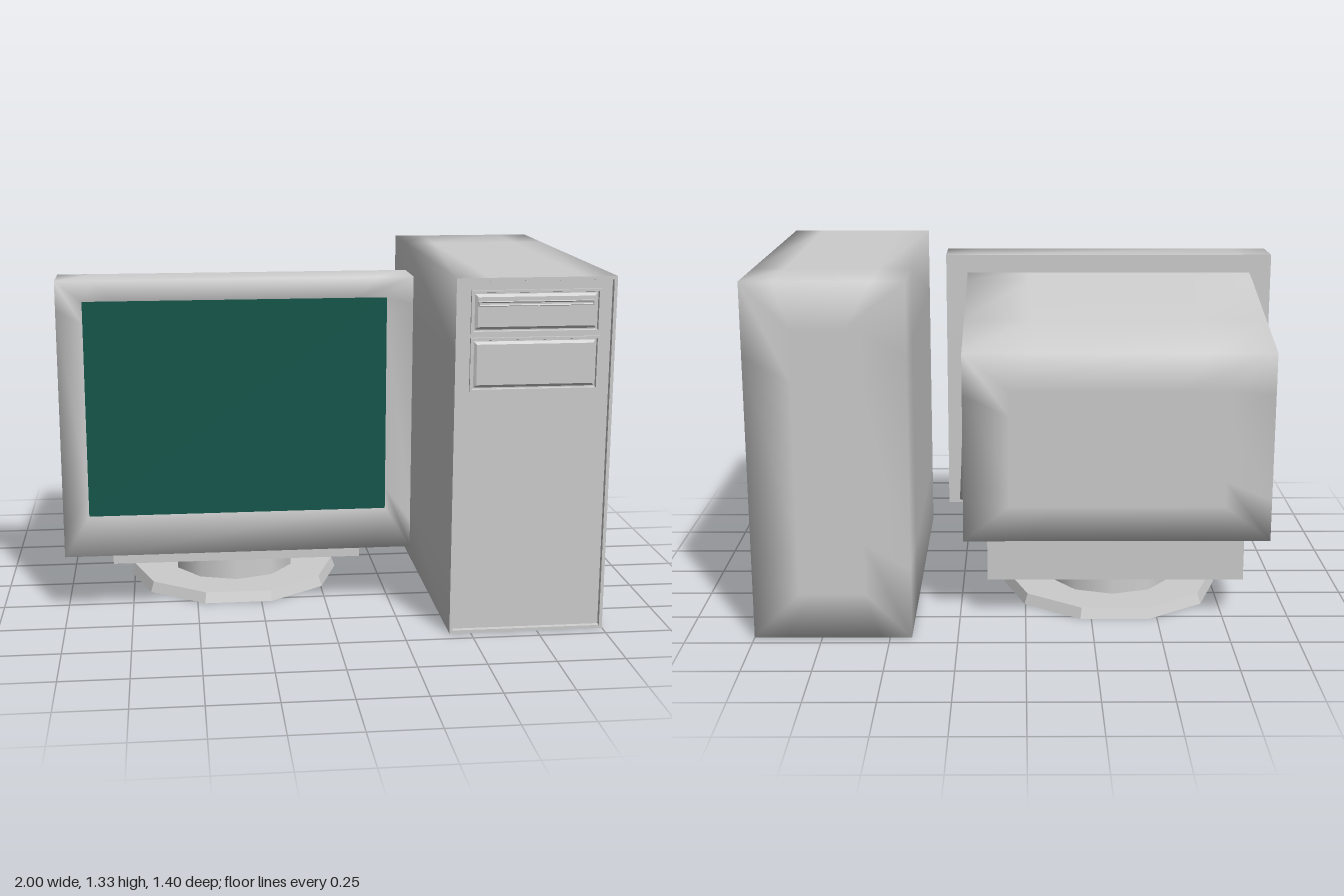
import * as THREE from 'three';
import { mergeVertices } from 'three/addons/utils/BufferGeometryUtils.js';

const grey = new THREE.MeshStandardMaterial({ color: 0xcccccc });
const flatGrey = new THREE.MeshStandardMaterial({ color: 0xcccccc, flatShading: true });
const glass = new THREE.MeshStandardMaterial({ color: 0x10554a });

// Skin over rectangular sections, ordered back to front (or outside to inside on a front face).
// Section: { x: centre, b: half width at bottom, t: half width at top, y0, y1, z }
function loft(sections, { startCap = false, endCap = false, margin = 0.3 } = {}) {
  const us = [-1, -1 + 2 * margin, 1 - 2 * margin, 1];
  const vs = [0, margin, 1 - margin, 1];
  const ring = [
    ...[0, 1, 2].map(i => [us[i], 0]), ...[0, 1, 2].map(i => [1, vs[i]]),
    ...[3, 2, 1].map(i => [us[i], 1]), ...[3, 2, 1].map(i => [-1, vs[i]]),
  ];
  const n = ring.length, pos = [], idx = [];
  for (const s of sections) {
    for (const [u, v] of ring) {
      pos.push(s.x + u * THREE.MathUtils.lerp(s.b, s.t, v), THREE.MathUtils.lerp(s.y0, s.y1, v), s.z);
    }
  }
  for (let i = 0; i + 1 < sections.length; i++) {
    for (let j = 0; j < n; j++) {
      const k = (j + 1) % n, a = i * n, d = a + n;
      idx.push(a + j, a + k, d + k, a + j, d + k, d + j);
    }
  }
  const cap = (i, flip) => {
    const s = sections[i], c = pos.length / 3;
    pos.push(s.x, (s.y0 + s.y1) / 2, s.z);
    for (let j = 0; j < n; j++) {
      const p = i * n + j, q = i * n + (j + 1) % n;
      idx.push(...(flip ? [c, q, p] : [c, p, q]));
    }
  };
  if (startCap) cap(0, true);
  if (endCap) cap(sections.length - 1, false);
  let g = new THREE.BufferGeometry();
  g.setAttribute('position', new THREE.Float32BufferAttribute(pos, 3));
  g.setIndex(idx);
  g = mergeVertices(g);
  g.computeVertexNormals();
  return g;
}

// Plain rectangular section, shrunk by an inset on every side
const rect = (x0, x1, y0, y1, z, inset = 0) => ({
  x: (x0 + x1) / 2, b: (x1 - x0) / 2 - inset, t: (x1 - x0) / 2 - inset,
  y0: y0 + inset, y1: y1 - inset, z,
});

function add(group, name, geometry, material = grey) {
  const mesh = new THREE.Mesh(geometry, material);
  mesh.name = name;
  group.add(mesh);
  return mesh;
}

function createTower() {
  const tower = new THREE.Group();
  tower.name = 'tower';
  const r = (z, inset) => rect(0.42, 1, 0, 1.325, z, inset);

  // Case with softly shaded edges, open at the front
  add(tower, 'towerCase', loft([r(-0.7, 0.17), r(-0.7), r(-0.4), r(0.7)], { startCap: true, margin: 0.2 }));
  // Thin rim around a recessed front panel
  add(tower, 'frontPanel', loft([r(0.7), r(0.7, 0.012), r(0.686, 0.014)], { endCap: true }), flatGrey);

  // Drive bays: raised frame, groove and raised cover
  for (const [y0, y1] of [[1.125, 1.28], [0.915, 1.11]]) {
    const bay = (z, inset) => rect(0.475, 0.945, y0, y1, z, inset);
    add(tower, 'driveBay', loft([
      bay(0.686), bay(0.697), bay(0.697, 0.008), bay(0.687, 0.01),
      bay(0.687, 0.014), bay(0.695, 0.024),
    ], { endCap: true }), flatGrey);
  }
  // Slot lip on the upper bay
  const lip = (z, inset) => rect(0.5, 0.92, 1.222, 1.242, z, inset);
  add(tower, 'driveSlot', loft([lip(0.694), lip(0.7, 0.003), lip(0.696, 0.007)], { endCap: true }), flatGrey);
  return tower;
}

function createMonitor() {
  const monitor = new THREE.Group();
  monitor.name = 'monitor';
  const cx = -0.34;

  // Bezel frame, sloping in to the screen
  const outer = z => rect(-1, 0.32, 0.24, 1.29, z);
  add(monitor, 'bezel', loft([outer(0.19), outer(0.38), rect(-0.905, 0.225, 0.39, 1.21, 0.355)], { margin: 0.1 }));
  add(monitor, 'bezelBack', loft([rect(-1, 0.32, 0.24, 1.29, 0.19, 0.1), outer(0.19)], { startCap: true }), flatGrey);

  const screen = add(monitor, 'screen', new THREE.PlaneGeometry(1.13, 0.82), glass);
  screen.position.set(cx, 0.8, 0.355);

  // Tube housing, tapering to the back and flaring low down behind the bezel
  const section = (b, t, y0, y1, z) => ({ x: cx, b, t, y0, y1, z });
  add(monitor, 'housing', loft([
    section(0.4, 0.4, 0.46, 0.9, -0.56),
    section(0.573, 0.573, 0.325, 1.04, -0.56),
    section(0.573, 0.573, 0.305, 1.11, -0.27),
    section(0.573, 0.573, 0.27, 1.2, 0.1),
    section(0.62, 0.573, 0.25, 1.22, 0.2),
  ], { startCap: true, margin: 0.22 }));

  // Swivel stand
  const plate = add(monitor, 'standPlate', new THREE.BoxGeometry(0.97, 0.19, 0.71));
  plate.position.set(cx, 0.245, -0.145);
  const underside = new THREE.CylinderGeometry(Math.SQRT1_2, 0.4, 0.015, 4)
    .rotateY(Math.PI / 4).scale(0.97, 1, 0.71);
  add(monitor, 'standUnderside', underside, flatGrey).position.set(cx, 0.1425, -0.145);
  add(monitor, 'standNeck', new THREE.CylinderGeometry(0.24, 0.245, 0.11, 10)).position.set(cx, 0.09, -0.12);
  const base = new THREE.CylinderGeometry(0.41, 0.425, 0.04, 10).rotateY(Math.PI / 10);
  add(monitor, 'standBase', base, flatGrey).position.set(cx, 0.02, -0.12);
  return monitor;
}

export function createModel() {
  const model = new THREE.Group();
  model.name = 'desktopComputer';
  model.add(createTower(), createMonitor());
  return model;
}
